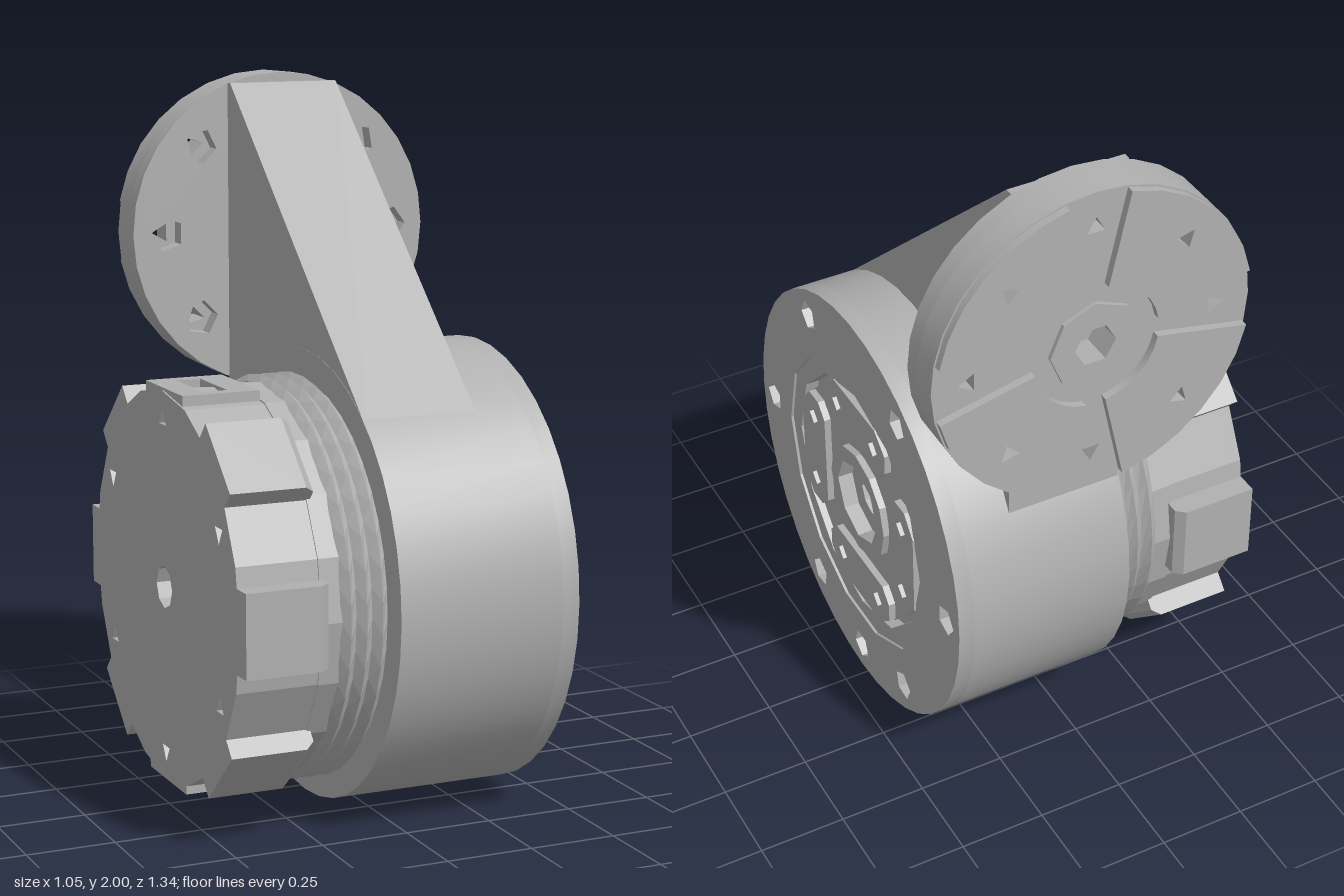
import * as THREE from 'three';
import { toCreasedNormals } from 'three/addons/utils/BufferGeometryUtils.js';

const grey = new THREE.MeshStandardMaterial({ color: 0xb0b0b0 });
grey.name = 'light grey';

// Regular polygon as a list of points
function poly(r, n, cx = 0, cy = 0, turn = 0) {
  return Array.from({ length: n }, (_, i) => {
    const a = turn + (i / n) * Math.PI * 2;
    return new THREE.Vector2(cx + r * Math.cos(a), cy + r * Math.sin(a));
  });
}

// Small polygon hole placed at an angle in degrees
function holeAt(radius, degrees, r, n) {
  const a = THREE.MathUtils.degToRad(degrees);
  return poly(r, n, radius * Math.cos(a), radius * Math.sin(a), a);
}

// Outline with holes, extruded from z = from to z = to
function plate(parent, name, outline, holes, from, to) {
  const shape = new THREE.Shape(outline);
  for (const h of holes) shape.holes.push(new THREE.Path(h));
  const geo = new THREE.ExtrudeGeometry(shape, { depth: to - from, bevelEnabled: false });
  geo.translate(0, 0, from);
  const mesh = new THREE.Mesh(toCreasedNormals(geo, 0.3), grey);
  mesh.name = name;
  parent.add(mesh);
  return mesh;
}

const bore = poly(0.06, 8);

// Round gear housing with a recessed output face
function addHousing(drive) {
  const rim = poly(0.635, 40);
  plate(drive, 'housing', rim, [bore], -0.10, 0.38);
  const bolts = [0, 60, 120, 180, 240, 300, 270].map(d => holeAt(0.555, d, 0.045, 5));
  plate(drive, 'housingFace', rim, [poly(0.44, 14), ...bolts], 0.38, 0.428);
  plate(drive, 'bezelRing', poly(0.44, 14), [poly(0.385, 12)], 0.38, 0.42);
  plate(drive, 'outputDisc', poly(0.365, 12), [poly(0.13, 10)], 0.38, 0.405);
  plate(drive, 'outputHub', poly(0.17, 12), [poly(0.125, 8)], 0.38, 0.425);

  // Four elongated pads around the hub
  for (let i = 0; i < 4; i++) {
    const outline = [
      [-0.19, -0.035], [-0.15, -0.075], [0.15, -0.075], [0.19, -0.035],
      [0.19, 0.025], [0.13, 0.075], [-0.13, 0.075], [-0.19, 0.025],
    ].map(p => new THREE.Vector2(p[0], p[1] + 0.28));
    const holes = [-0.115, 0.115].map(x => poly(0.027, 4, x, 0.28));
    plate(drive, 'outputPad', outline, holes, 0.39, 0.425).rotation.z = i * Math.PI / 2;
  }
}

// Rings of diamond-shaped fins
function addFins(drive) {
  const rows = 7, segments = 40;
  const profile = Array.from({ length: rows }, (_, i) =>
    new THREE.Vector2(i % 2 ? 0.568 : 0.548, -0.235 + i * 0.137 / (rows - 1)));
  let geo = new THREE.LatheGeometry(profile, segments);
  const pos = geo.attributes.position, v = new THREE.Vector3();
  const up = new THREE.Vector3(0, 1, 0);
  for (let i = 0; i < pos.count; i++) {
    if ((i % rows) % 2 === 0) continue;
    v.fromBufferAttribute(pos, i).applyAxisAngle(up, Math.PI / segments);
    pos.setXYZ(i, v.x, v.y, v.z);
  }
  geo = geo.toNonIndexed();
  geo.computeVertexNormals();
  geo.rotateX(Math.PI / 2);
  const fins = new THREE.Mesh(geo, grey);
  fins.name = 'coolingFins';
  drive.add(fins);
}

// Motor can with raised blocks
function addMotor(drive) {
  plate(drive, 'motorCore', poly(0.535, 32), [bore], -0.29, -0.10);
  plate(drive, 'motorCollar', poly(0.552, 20), [bore], -0.29, -0.23);
  const outline = poly(0.548, 20);
  const holes = [30, 90, 150, 210, 270, 330].map(d => holeAt(0.47, d, 0.03, 3));
  plate(drive, 'motorCan', outline, [bore], -0.48, -0.28);
  plate(drive, 'motorEnd', outline, [bore, ...holes], -0.52, -0.48);

  // Side blocks with a sloped inner end
  for (const deg of [0, 47, 133, 180, 227, 313]) {
    const side = [[-0.52, 0.45], [-0.28, 0.45], [-0.28, 0.57], [-0.305, 0.592], [-0.52, 0.592]]
      .map(p => new THREE.Vector2(...p));
    const geo = new THREE.ExtrudeGeometry(new THREE.Shape(side), { depth: 0.23, bevelEnabled: false });
    geo.translate(0, 0, -0.115);
    geo.rotateY(-Math.PI / 2); // profile length now runs along the drive axis
    const block = new THREE.Mesh(geo, grey);
    block.name = 'motorBlock';
    block.rotation.z = THREE.MathUtils.degToRad(deg - 90);
    drive.add(block);
  }

  // Slotted plates above and below
  for (const s of [1, -1]) {
    const rect = (a, b, c, d) => [[a, b], [c, b], [c, d], [a, d]].map(p => new THREE.Vector2(...p));
    const geo = new THREE.ExtrudeGeometry(
      Object.assign(new THREE.Shape(rect(-0.14, -0.515, 0.14, -0.29)),
        { holes: [new THREE.Path(rect(-0.1, -0.44, 0.1, -0.37))] }),
      { depth: 0.03, bevelEnabled: false });
    geo.rotateX(Math.PI / 2);
    geo.scale(1, 1, 1);
    const mesh = new THREE.Mesh(geo, grey);
    mesh.name = 'slottedPlate';
    mesh.position.y = s > 0 ? 0.555 : -0.525;
    drive.add(mesh);
  }
}

// Wedge arm rising from the housing to the flange
function addArm(drive) {
  const outline = [[0, 0.3], [0.555, 0.3], [0.555, 1.335], [0.535, 1.335], [-0.428, 0.465]]
    .map(p => new THREE.Vector2(...p));
  plate(drive, 'arm', outline, [], -0.099, 0.235);
}

// Mounting flange with bolt holes and raised pads at the back
function addFlange(flange) {
  const rim = poly(0.46, 32);
  const angles = Array.from({ length: 8 }, (_, i) => i * 45);
  plate(flange, 'flangeFront', rim, angles.map(d => holeAt(0.355, d, 0.052, 5)), 0, 0.05);
  plate(flange, 'flangeBack', rim,
    [poly(0.06, 6), ...angles.map(d => holeAt(0.355, d, 0.03, 3))], 0.05, 0.128);
  plate(flange, 'flangeHub', poly(0.13, 8), [poly(0.06, 6)], 0.128, 0.14);
  for (const mid of [45, 135, 225, 315]) {
    const arc = (r, from, to) => Array.from({ length: 7 }, (_, i) => {
      const a = THREE.MathUtils.degToRad(mid + from + (to - from) * i / 6);
      return new THREE.Vector2(r * Math.cos(a), r * Math.sin(a));
    });
    plate(flange, 'flangePad', [...arc(0.455, -34, 34), ...arc(0.18, 36, -36)],
      [holeAt(0.355, mid, 0.03, 3)], 0.128, 0.15);
  }
}

export function createModel() {
  const model = new THREE.Group();
  model.name = 'actuatorJoint';

  // Local z of the drive runs along the model's x axis
  const drive = new THREE.Group();
  drive.name = 'drive';
  drive.position.set(0, 0.637, 0.035);
  drive.rotation.y = Math.PI / 2;
  addHousing(drive);
  addFins(drive);
  addMotor(drive);
  addArm(drive);
  model.add(drive);

  // Local z of the flange points to the back
  const flange = new THREE.Group();
  flange.name = 'flange';
  flange.position.set(0.065, 1.54, -0.52);
  flange.rotation.y = Math.PI;
  addFlange(flange);
  model.add(flange);
  return model;
}
